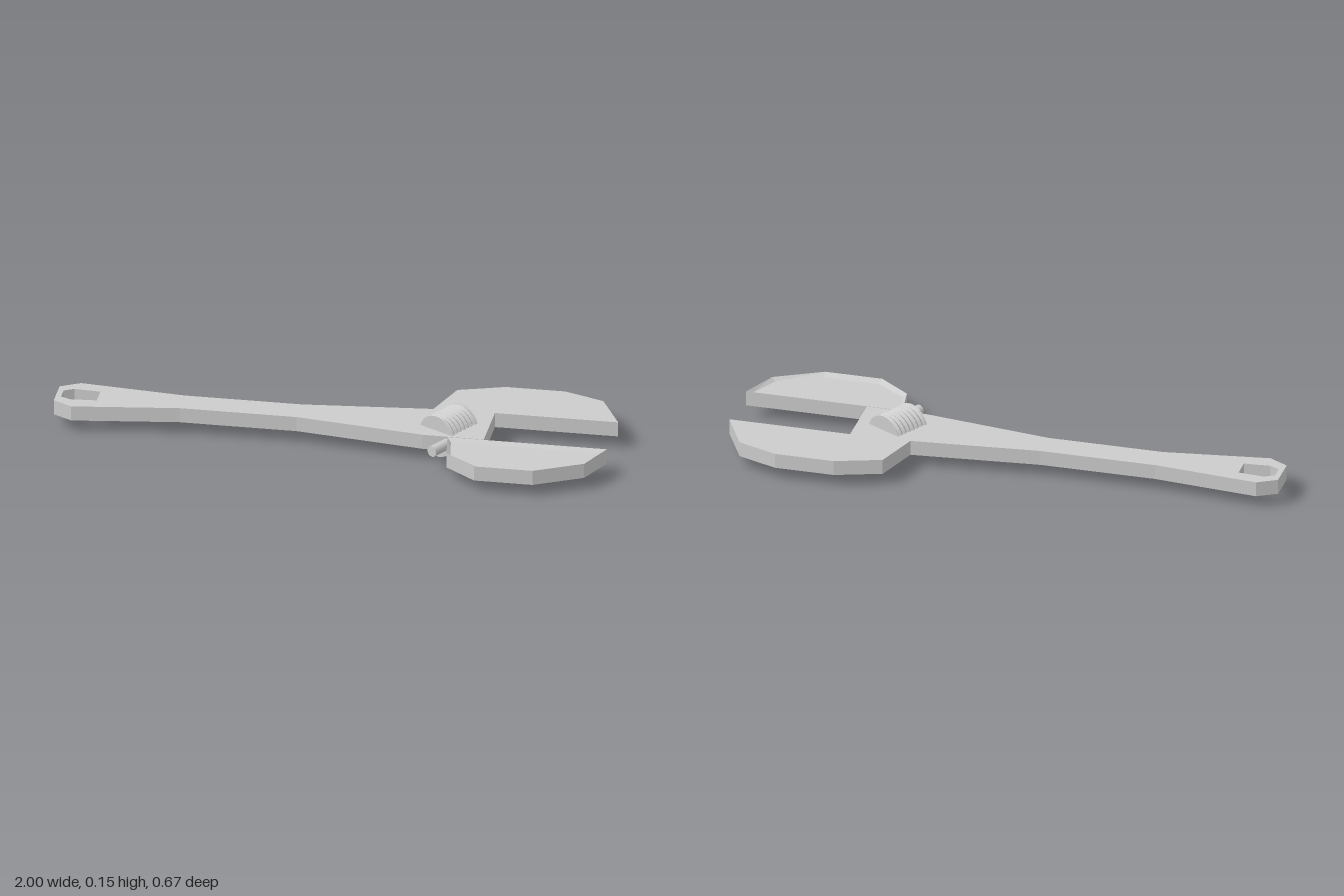
import * as THREE from 'three';

const BOTTOM = 0.045, TOP = 0.1, MID = 0.0775;
const material = new THREE.MeshStandardMaterial({ color: 0xcccccc });
const flatMaterial = new THREE.MeshStandardMaterial({ color: 0xcccccc, flatShading: true });

function addMesh(group, name, geometry, mat = material) {
  const mesh = new THREE.Mesh(geometry, mat);
  mesh.name = name;
  group.add(mesh);
  return mesh;
}

// Outlines are given as [x, z] seen from above.
const toPoints = (list) => list.map(([x, z]) => new THREE.Vector2(x, -z));

// Flat plate between BOTTOM and TOP with one hole.
function plate(outline, hole) {
  const shape = new THREE.Shape(toPoints(outline));
  shape.holes.push(new THREE.Path(toPoints(hole)));
  const g = new THREE.ExtrudeGeometry(shape, { depth: TOP - BOTTOM, bevelEnabled: false });
  return g.rotateX(-Math.PI / 2).translate(0, BOTTOM, 0);
}

// Convex plate whose two broad faces are shallow dishes inside a raised edge.
function dishedPlate(outline, depth) {
  const cx = 0.69, cz = 0.2, n = outline.length;
  const inner = outline.map(([x, z]) => [cx + (x - cx) * 0.945, cz + (z - cz) * 0.84]);
  const rings = [
    [[[cx, cz]], BOTTOM + depth], [inner, BOTTOM + depth], [outline, BOTTOM],
    [outline, TOP], [inner, TOP - depth], [[[cx, cz]], TOP - depth],
  ];
  const pos = [];
  const corner = (r, i) => {
    const [list, y] = rings[r], [x, z] = list[i % list.length];
    return [x, y, z];
  };
  for (let r = 0; r < rings.length - 1; r++) {
    for (let i = 0; i < n; i++) {
      const j = (i + 1) % n;
      const a = corner(r, i), b = corner(r, j), c = corner(r + 1, j), d = corner(r + 1, i);
      if (r > 0) pos.push(...a, ...b, ...c);
      if (r === 0) pos.push(...a, ...c, ...d);
      else if (r < rings.length - 2) pos.push(...a, ...c, ...d);
    }
  }
  const g = new THREE.BufferGeometry();
  g.setAttribute('position', new THREE.Float32BufferAttribute(pos, 3));
  g.computeVertexNormals();
  return g;
}

// Cylinder with a helical sawtooth cut into its side.
function wormGeometry(radius, length, turns, cut) {
  const g = new THREE.CylinderGeometry(radius, radius, length, 32, turns * 8);
  const p = g.attributes.position;
  for (let i = 0; i < p.count; i++) {
    const x = p.getX(i), y = p.getY(i), z = p.getZ(i);
    if (Math.hypot(x, z) < 1e-6 || Math.abs(y) > length / 2 - 1e-4) continue;
    const t = (y / length) * turns + Math.atan2(z, x) / (2 * Math.PI) + turns;
    const k = 1 - (cut / radius) * (1 - Math.abs(2 * (t - Math.floor(t)) - 1));
    p.setXYZ(i, x * k, y, z * k);
  }
  return g;
}

export function createModel() {
  const group = new THREE.Group();
  group.name = 'adjustableWrench';

  // Handle and fixed jaw in one piece, with the hanging hole
  const body = [
    [-1, 0.055], [-0.93, 0.095], [-0.55, 0.042], [-0.13, 0.042], [0.335, 0.108],
    [0.555, 0.11], [0.555, -0.115], [0.998, -0.115], [0.915, -0.28], [0.77, -0.335],
    [0.555, -0.335], [0.39, -0.28], [0.335, -0.11], [-0.13, -0.065], [-0.55, -0.065],
    [-0.93, -0.102], [-1, -0.062],
  ];
  const hole = [
    [-0.98, 0.02], [-0.945, 0.037], [-0.85, 0.03], [-0.85, -0.043], [-0.945, -0.05], [-0.98, -0.03],
  ];
  addMesh(group, 'handleAndFixedJaw', plate(body, hole));

  // Sliding jaw
  const jaw = [
    [0.425, 0.112], [0.445, 0.245], [0.56, 0.335], [0.77, 0.335], [0.94, 0.245], [0.998, 0.112],
  ];
  addMesh(group, 'slidingJaw', dishedPlate(jaw, 0.012));

  // Adjusting worm and its pin, lying at a slant
  const axis = new THREE.Vector3(-0.5, 0, 0.866);
  const up = new THREE.Vector3(0, 1, 0);
  const worm = addMesh(group, 'adjustingWorm', wormGeometry(0.0775, 0.14, 7, 0.008), flatMaterial);
  worm.position.set(0.412, MID, 0.005);
  worm.quaternion.setFromUnitVectors(up, axis);

  const pin = addMesh(group, 'wormPin', new THREE.CylinderGeometry(0.02, 0.02, 0.15, 16));
  pin.position.set(0.419, 0.0735, 0.12);
  pin.quaternion.setFromUnitVectors(up, axis);

  return group;
}
